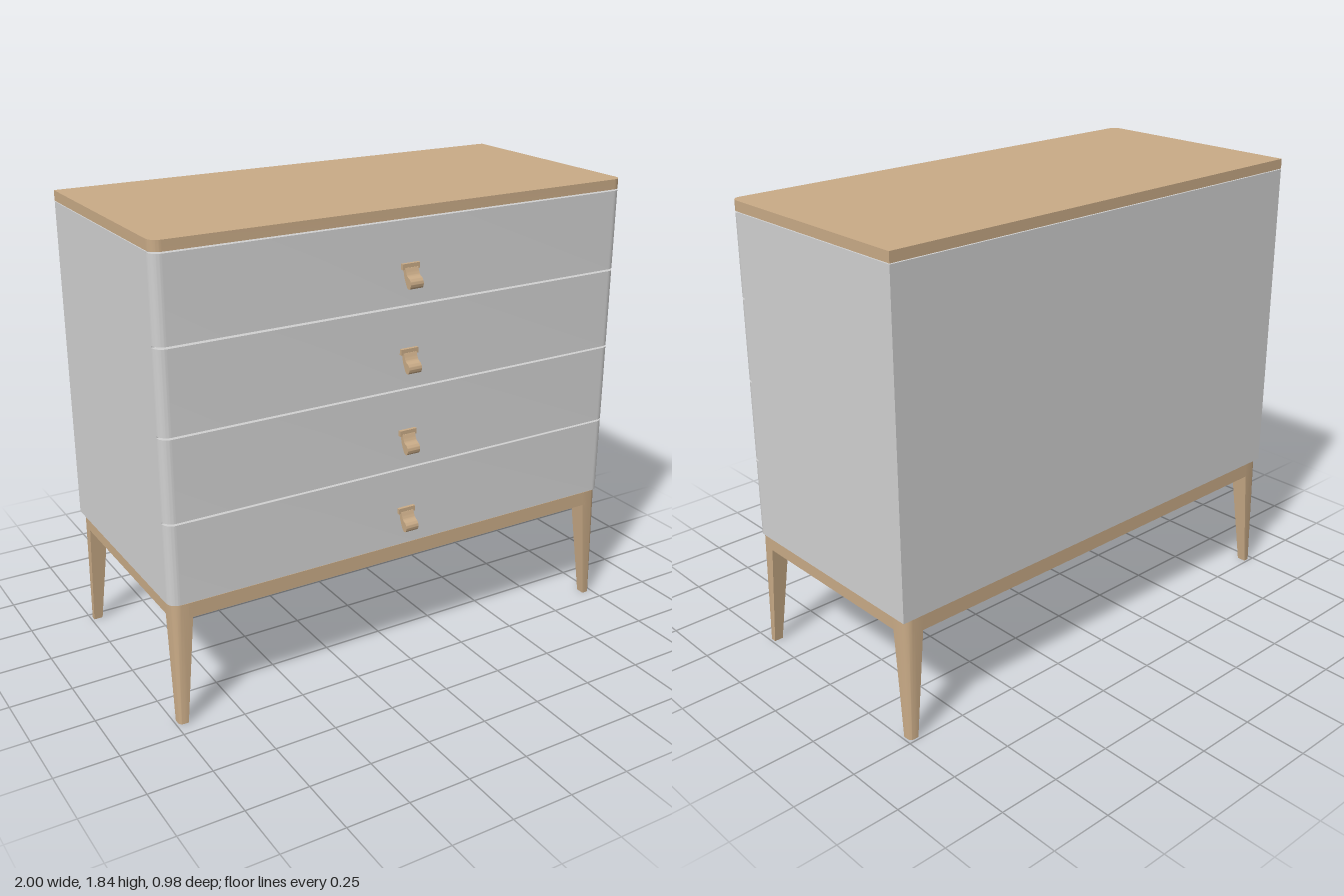
import * as THREE from 'three';
import { toCreasedNormals } from 'three/addons/utils/BufferGeometryUtils.js';

const BACK = -0.49, FRONT = 0.44, BODY_BOTTOM = 0.5, DRAWER_PITCH = 0.326;

export function createModel() {
  const model = new THREE.Group();
  model.name = 'chestOfDrawers';
  const wood = new THREE.MeshStandardMaterial({ color: 0xc8aa86 });
  wood.name = 'lightWood';
  const grey = new THREE.MeshStandardMaterial({ color: 0xd0d0d0 });
  grey.name = 'greyPaint';

  const add = (name, geometry, material, parent = model) => {
    const mesh = new THREE.Mesh(geometry, material);
    mesh.name = name;
    parent.add(mesh);
    return mesh;
  };
  const box = (name, x0, x1, y0, y1, z0, z1, material, parent) =>
    add(name, new THREE.BoxGeometry(x1 - x0, y1 - y0, z1 - z0), material, parent)
      .position.set((x0 + x1) / 2, (y0 + y1) / 2, (z0 + z1) / 2);
  const extrude = (shape, depth) =>
    new THREE.ExtrudeGeometry(shape, { depth, bevelEnabled: false, curveSegments: 8 });

  // Horizontal slab with rounded front corners
  const slab = (y0, y1, z0, r = 0.04) => {
    const s = new THREE.Shape();
    s.moveTo(-1, z0);
    s.lineTo(1, z0);
    s.lineTo(1, FRONT - r);
    s.absarc(1 - r, FRONT - r, r, 0, Math.PI / 2);
    s.lineTo(-1 + r, FRONT);
    s.absarc(-1 + r, FRONT - r, r, Math.PI / 2, Math.PI);
    s.closePath();
    const g = extrude(s, y1 - y0).rotateX(Math.PI / 2).translate(0, y1, 0);
    return toCreasedNormals(g, 0.5);
  };

  // Carcass and top board
  box('carcass', -1, 1, BODY_BOTTOM, 1.8, BACK, 0.398, grey);
  add('topBoard', slab(1.803, 1.843, BACK), wood);

  // Pull tab profile: a curved drop seen from the side (z, y)
  const drop = [
    [0.44, 0.145], [0.455, 0.145], [0.467, 0.119], [0.486, 0.107], [0.493, 0.09],
    [0.486, 0.073], [0.471, 0.073], [0.459, 0.09], [0.448, 0.113],
  ].map(([z, y]) => new THREE.Vector2(z, y));
  const tabShape = new THREE.Shape();
  tabShape.moveTo(drop[0].x, drop[0].y);
  tabShape.lineTo(drop[1].x, drop[1].y);
  tabShape.splineThru(drop.slice(2));
  tabShape.closePath();
  const tabGeometry = toCreasedNormals(
    extrude(tabShape, 0.056).rotateY(-Math.PI / 2).translate(0.028, 0, 0), 0.7);

  // Four drawer fronts with pulls
  for (let i = 0; i < 4; i++) {
    const y = BODY_BOTTOM + i * DRAWER_PITCH;
    const drawer = new THREE.Group();
    drawer.name = `drawer${i + 1}`;
    drawer.position.y = y;
    model.add(drawer);
    add('drawerFront', slab(0.001, DRAWER_PITCH - 0.007, 0.398), grey, drawer);
    add('pullTab', tabGeometry, wood, drawer);
    box('pullFlange', -0.037, 0.037, 0.138, 0.16, 0.438, 0.453, wood, drawer);
  }

  // Tapered leg with a rounded outer corner; the taper narrows toward that corner
  const legGeometry = (sx, sz) => {
    const t = 0.08, r = 0.04;
    const s = new THREE.Shape();
    s.moveTo(-sx * t, -sz * t);
    s.lineTo(-sx * t, 0);
    s.lineTo(-sx * r, 0);
    s.bezierCurveTo(-sx * r * 0.45, 0, 0, -sz * r * 0.45, 0, -sz * r);
    s.lineTo(0, -sz * t);
    s.closePath();
    const g = extrude(s, BODY_BOTTOM).rotateX(Math.PI / 2).translate(0, BODY_BOTTOM, 0);
    const p = g.attributes.position;
    for (let i = 0; i < p.count; i++) {
      const k = 0.46 + 0.54 * p.getY(i) / BODY_BOTTOM;
      p.setX(i, p.getX(i) * k);
      p.setZ(i, p.getZ(i) * k);
    }
    return toCreasedNormals(g, 0.5);
  };
  const base = new THREE.Group();
  base.name = 'base';
  model.add(base);
  for (const sx of [-1, 1]) {
    for (const sz of [-1, 1]) {
      const name = (sz > 0 ? 'front' : 'back') + (sx > 0 ? 'Left' : 'Right') + 'Leg';
      add(name, legGeometry(sx, sz), wood, base)
        .position.set(sx * 0.99, 0, sz > 0 ? FRONT : BACK);
    }
  }

  // Rails joining the legs under the carcass
  const railBottom = 0.44, thick = 0.04;
  box('frontRail', -0.93, 0.93, railBottom, BODY_BOTTOM, FRONT - thick, FRONT, wood, base);
  box('backRail', -0.93, 0.93, railBottom, BODY_BOTTOM, BACK, BACK + thick, wood, base);
  box('leftRail', 0.99 - thick, 0.99, railBottom, BODY_BOTTOM, BACK + 0.06, FRONT - 0.06, wood, base);
  box('rightRail', -0.99, -0.99 + thick, railBottom, BODY_BOTTOM, BACK + 0.06, FRONT - 0.06, wood, base);

  return model;
}
